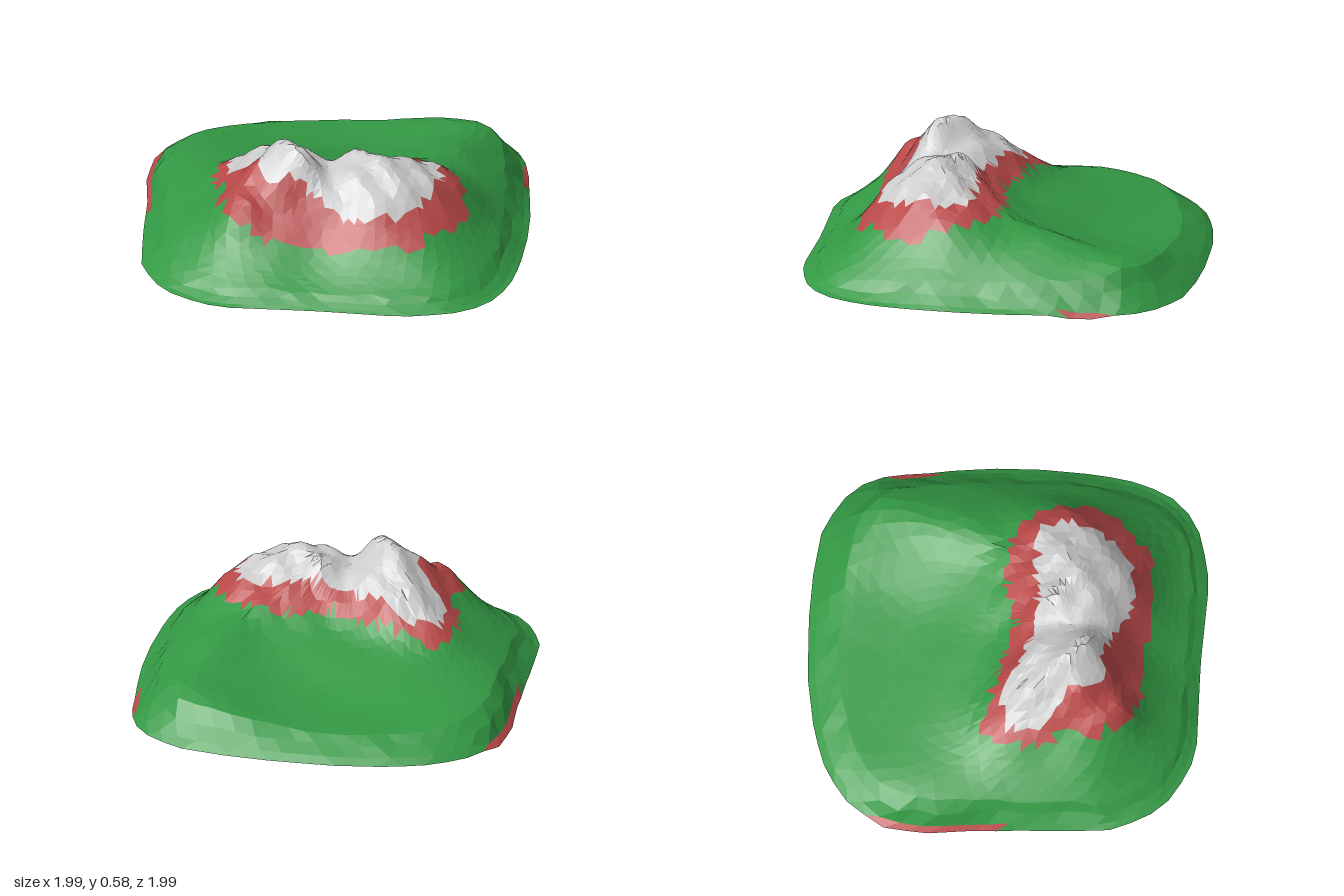
import * as THREE from 'three';

// Rounded, slanted footprint of the island (x, z)
const OUTLINE = [
  [0.2, -1], [0.36, -0.985], [0.45, -0.95], [0.52, -0.9], [0.6, -0.8], [0.7, -0.6], [0.8, -0.4], [0.88, -0.2],
  [0.96, 0.05], [1, 0.25], [0.99, 0.4], [0.95, 0.5], [0.87, 0.6], [0.68, 0.72], [0.3, 0.84], [-0.07, 0.98],
  [-0.2, 1], [-0.4, 0.96], [-0.5, 0.89], [-0.61, 0.77], [-0.72, 0.52], [-0.85, 0.2], [-0.95, 0], [-1, -0.2],
  [-0.95, -0.38], [-0.86, -0.52], [-0.7, -0.65], [-0.47, -0.78], [-0.2, -0.89], [0, -0.955],
];

// Coarse relief in hundredths: rows run z = -1..1, columns x = -1..1, step 0.2
const RELIEF = [
  [3, 3, 3, 4, 5, 7, 9, 8, 4, 0, 0],
  [4, 6, 7, 9, 11, 14, 18, 19, 7, 0, 0],
  [6, 9, 10, 11, 12, 14, 19, 23, 13, 1, 0],
  [8, 11, 12, 13, 14, 16, 21, 28, 19, 4, 0],
  [9, 14, 16, 18, 20, 22, 26, 31, 25, 9, 1],
  [9, 15, 19, 24, 27, 29, 36, 41, 36, 15, 2],
  [5, 12, 20, 33, 45, 44, 49, 49, 37, 17, 2],
  [2, 6, 16, 28, 45, 52, 42, 40, 28, 14, 2],
  [2, 3, 10, 23, 36, 30, 20, 17, 11, 6, 2],
  [2, 2, 4, 10, 16, 13, 7, 4, 2, 2, 2],
  [2, 2, 2, 2, 2, 2, 2, 2, 2, 2, 2],
];

// Borders of the snow cap and of the bare rock around it (x, z)
const SNOW = [
  [-0.43, 0.2], [-0.3, 0.1], [-0.2, 0.12], [0, 0.13], [0.15, 0.1], [0.3, 0.02], [0.52, -0.06], [0.58, 0.1],
  [0.58, 0.28], [0.48, 0.44], [0.3, 0.49], [0.05, 0.47], [-0.1, 0.53], [-0.2, 0.4], [-0.36, 0.35],
];
const ROCK = [
  [-0.5, 0.2], [-0.47, 0.08], [-0.2, 0.05], [0.05, 0.03], [0.2, -0.08], [0.3, -0.13], [0.5, -0.15], [0.62, -0.05],
  [0.74, 0.1], [0.69, 0.3], [0.62, 0.45], [0.4, 0.56], [0.15, 0.62], [-0.02, 0.69], [-0.2, 0.68], [-0.37, 0.54],
  [-0.3, 0.48], [-0.45, 0.35],
];

const SPOKES = 60, RINGS = 22, CX = 0.1, CZ = 0.28;

function seeded(seed) {
  return () => {
    seed = (seed * 16807) % 2147483647;
    return seed / 2147483647;
  };
}

function inside(poly, x, z) {
  let hit = false;
  for (let i = 0, j = poly.length - 1; i < poly.length; j = i++) {
    const [ax, az] = poly[i], [bx, bz] = poly[j];
    if ((az > z) !== (bz > z) && x < ((bx - ax) * (z - az)) / (bz - az) + ax) hit = !hit;
  }
  return hit;
}

const cubic = (a, b, c, d, t) =>
  b + 0.5 * t * (c - a + t * (2 * a - 5 * b + 4 * c - d + t * (3 * (b - c) + d - a)));

const bump = (x, z, px, pz, h, r) => h * Math.exp(-((x - px) ** 2 + (z - pz) ** 2) / (r * r));

// Smoothly interpolated relief plus summits, saddle and crags
function height(x, z) {
  const clamp = (i) => Math.min(10, Math.max(0, i));
  const u = (x + 1) * 5, v = (z + 1) * 5;
  const i = Math.floor(u), j = Math.floor(v);
  const rows = [-1, 0, 1, 2].map((dj) => {
    const row = RELIEF[clamp(j + dj)];
    return cubic(row[clamp(i - 1)], row[clamp(i)], row[clamp(i + 1)], row[clamp(i + 2)], u - i);
  });
  let y = cubic(...rows, v - j) / 100;
  y += bump(x, z, -0.07, 0.37, 0.055, 0.12);
  y += bump(x, z, 0.1, 0.28, -0.07, 0.07);
  y += bump(x, z, 0.2, 0.2, 0.02, 0.07);
  y += bump(x, z, -0.16, 0.64, 0.04, 0.08);
  const craggy = THREE.MathUtils.smoothstep(y, 0.22, 0.45);
  return y + craggy * 0.01 * (Math.sin(x * 31 + z * 17) + Math.sin(z * 37 - x * 19));
}

// Short stretches of shore where bare rock shows below a steep green lip
const rockyShore = (x, z) =>
  (x < -0.74 && z > -0.26 && z < 0.3) || (x > 0.57 && z > -0.83 && z < -0.62);

// Staggered rings from the mountain's middle out to the shore
function buildVertices() {
  const shore = new THREE.CatmullRomCurve3(
    OUTLINE.map(([x, z]) => new THREE.Vector3(x, 0, z)), true, 'catmullrom', 0);
  shore.arcLengthDivisions = 1200;
  const random = seeded(41);
  const rings = [];
  for (let r = 0; r <= RINGS; r++) {
    const t = r === RINGS ? 1 : (r / (RINGS - 1)) * 0.972;
    const ring = [];
    for (let s = 0; s < SPOKES; s++) {
      const p = shore.getPointAt((s + (r % 2) / 2) / SPOKES);
      const jitter = r < RINGS - 1 ? 0.024 * Math.min(1, t * 3) : 0;
      const x = CX + (p.x - CX) * t + (random() - 0.5) * jitter;
      const z = CZ + (p.z - CZ) * t + (random() - 0.5) * jitter;
      const rocky = r >= RINGS - 1 && rockyShore(x, z);
      const rim = Math.pow(Math.min(1, (1 - t) / 0.12), 0.7) * (rocky ? 0.2 : 1);
      const base = rocky && r === RINGS ? 0 : 0.015;
      ring.push(new THREE.Vector3(x, base + Math.max(0, height(x, z) - base) * rim, z));
    }
    rings.push(ring);
  }
  return rings;
}

export function createModel() {
  const model = new THREE.Group();
  model.name = 'mountainIsland';
  const rings = buildVertices();
  const faces = { greenSlopes: [], rockBand: [], snowCap: [] };

  // Sort every facet into grass, rock or snow by its centre
  function addFace(a, b, c, outer) {
    const x = (a.x + b.x + c.x) / 3, z = (a.z + b.z + c.z) / 3;
    let part = 'greenSlopes';
    if (inside(SNOW, x, z)) part = 'snowCap';
    else if (inside(ROCK, x, z) || (outer && rockyShore(x, z))) part = 'rockBand';
    for (const p of [a, b, c]) faces[part].push(p.x, p.y, p.z);
  }

  for (let r = 0; r < RINGS; r++) {
    const outer = r === RINGS - 1;
    for (let s = 0; s < SPOKES; s++) {
      const n = (s + 1) % SPOKES;
      const a = rings[r][s], b = rings[r][n], c = rings[r + 1][n], d = rings[r + 1][s];
      if (r % 2) {
        addFace(a, b, c, outer);
        addFace(a, c, d, outer);
      } else {
        if (r > 0) addFace(a, b, d, outer);
        addFace(b, c, d, outer);
      }
    }
  }

  // One open, faceted shell per ground cover
  const colors = { greenSlopes: 0x339944, rockBand: 0xb84848, snowCap: 0xcccccc };
  for (const [name, positions] of Object.entries(faces)) {
    const geometry = new THREE.BufferGeometry();
    geometry.setAttribute('position', new THREE.Float32BufferAttribute(positions, 3));
    geometry.computeVertexNormals();
    const mesh = new THREE.Mesh(geometry, new THREE.MeshStandardMaterial({
      color: colors[name], flatShading: true, side: THREE.DoubleSide,
    }));
    mesh.name = name;
    model.add(mesh);
  }
  return model;
}
